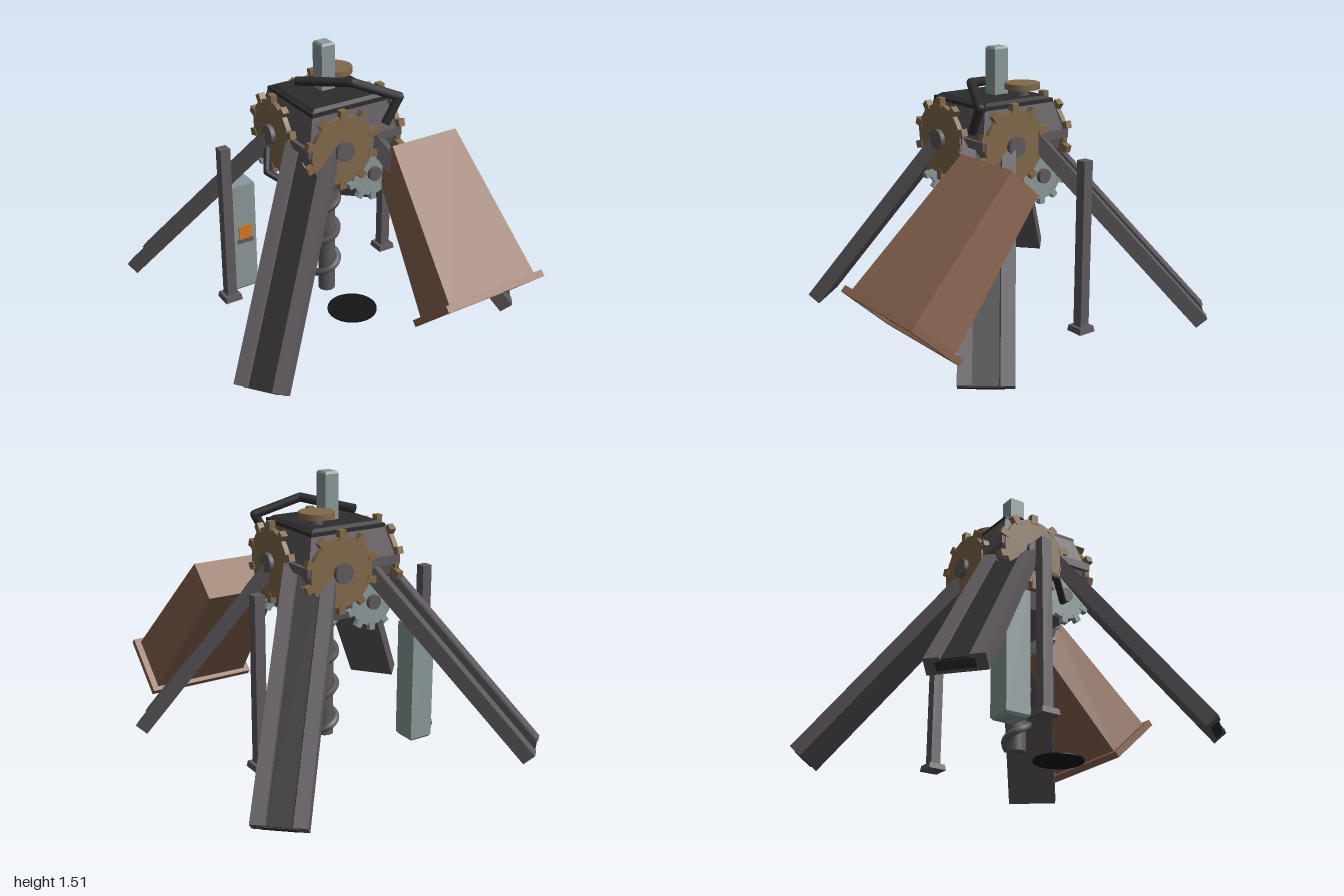
import * as THREE from 'three';

const mat = (name, color) => Object.assign(new THREE.MeshStandardMaterial({ color }), { name });
const M = {
  steel: mat('steel grey', 0x5e595d),
  charcoal: mat('charcoal', 0x2d2d2d),
  black: mat('black', 0x141414),
  brass: mat('brass', 0x80694a),
  pale: mat('pale blue steel', 0x8a9798),
  brown: mat('copper brown', 0x8a6550),
  orange: mat('orange', 0xd87522),
};

const V = (x, y, z) => new THREE.Vector3(x, y, z);

function add(parent, name, geometry, material, x = 0, y = 0, z = 0) {
  const m = new THREE.Mesh(geometry, material);
  m.name = name;
  m.position.set(x, y, z);
  parent.add(m);
  return m;
}

const box = (w, h, d) => new THREE.BoxGeometry(w, h, d);

// Box whose top differs in size from its base; stands on y = 0
function frustum(w0, d0, w1, d1, h) {
  const g = box(1, h, 1).translate(0, h / 2, 0);
  const p = g.attributes.position;
  for (let i = 0; i < p.count; i++) {
    const top = p.getY(i) > h / 2;
    p.setX(i, p.getX(i) * (top ? w1 : w0));
    p.setZ(i, p.getZ(i) * (top ? d1 : d0));
  }
  g.computeVertexNormals();
  return g;
}

// Disc facing +z
const disc = (r, t, n = 24) => new THREE.CylinderGeometry(r, r, t, n).rotateX(Math.PI / 2);

function gear(name, r, t, teeth, toothW, toothH, material, hubR) {
  const g = new THREE.Group();
  g.name = name;
  add(g, name + 'Disc', disc(r, t), material);
  for (let i = 0; i < teeth; i++) {
    const a = i / teeth * Math.PI * 2;
    const rr = r + toothH / 2 - 0.01;
    add(g, name + 'Tooth', box(toothW, toothH + 0.02, t + 0.008), material,
      Math.sin(a) * rr, Math.cos(a) * rr, 0).rotation.z = -a;
  }
  add(g, name + 'Hub', disc(hubR, 0.03, 12), M.steel, 0, 0, t / 2 + 0.01);
  return g;
}

// Leg: a grooved beam from the foot up to the body, with a dark inlay
function leg(name, foot, top) {
  const g = new THREE.Group();
  g.name = name;
  const d = top.clone().sub(foot), len = d.length();
  d.normalize();
  const w = V(0, 1, 0).cross(d).normalize();
  const n = d.clone().cross(w);
  g.quaternion.setFromRotationMatrix(new THREE.Matrix4().makeBasis(w, n, d));
  g.position.copy(foot);
  const s = new THREE.Shape([[-0.14, -0.04], [0.14, -0.04], [0.14, 0.04], [0.068, 0.04], [0.062, 0.022],
    [-0.062, 0.022], [-0.068, 0.04], [-0.14, 0.04]].map(p => new THREE.Vector2(...p)));
  add(g, 'legBeam', new THREE.ExtrudeGeometry(s, { depth: len, bevelEnabled: false }), M.steel);
  add(g, 'legInlay', box(0.124, 0.009, len), M.charcoal, 0, 0.026, len / 2);
  add(g, 'footPlate', box(0.18, 0.045, 0.006), M.charcoal, 0, 0, -0.002);
  return g;
}

// Angular pipe through a few points
function pipe(parent, name, pts, r) {
  const path = new THREE.CurvePath();
  for (let i = 1; i < pts.length; i++) {
    const a = pts[i - 1], b = pts[i], len = a.distanceTo(b);
    const m = add(parent, name, new THREE.CylinderGeometry(r, r, len, 8), M.charcoal);
    m.position.copy(a).add(b).multiplyScalar(0.5);
    m.quaternion.setFromUnitVectors(V(0, 1, 0), b.clone().sub(a).normalize());
    if (i > 1) add(parent, name + 'Joint', new THREE.SphereGeometry(r, 8, 6), M.charcoal, a.x, a.y, a.z);
  }
  return path;
}

export function createModel() {
  const root = new THREE.Group();
  root.name = 'drillingMachine';
  const cz = -0.03;

  // Central housing
  const body = new THREE.Group();
  body.name = 'housing';
  body.position.z = cz;
  root.add(body);
  add(body, 'lowerHousing', frustum(0.4, 0.4, 0.53, 0.53, 0.29), M.steel, 0, 0.74, 0);
  add(body, 'rim', box(0.58, 0.045, 0.58), M.steel, 0, 1.05, 0);
  add(body, 'upperHousing', frustum(0.54, 0.54, 0.46, 0.46, 0.15), M.steel, 0, 1.07, 0);
  add(body, 'lid', box(0.46, 0.03, 0.46), M.charcoal, 0, 1.225, 0);
  add(body, 'lidPanel', frustum(0.44, 0.44, 0.4, 0.4, 0.015), M.charcoal, 0, 1.24, 0);

  // A meshing gear pair on each of the four sides
  for (let i = 0; i < 4; i++) {
    const side = new THREE.Group();
    side.name = 'gearSide';
    side.rotation.y = i * Math.PI / 2;
    body.add(side);
    const big = gear('brassGear', 0.19, 0.028, 10, 0.04, 0.035, M.brass, 0.055);
    big.position.set(-0.085, 1.03, 0.285);
    const small = gear('paleGear', 0.13, 0.024, 10, 0.035, 0.028, M.pale, 0.04);
    small.position.set(0.125, 0.835, 0.262);
    side.add(big, small);
  }

  // Legs
  for (const s of [1, -1]) {
    root.add(leg('frontLeg', V(s * 0.8, 0.027, 0.625), V(s * 0.18, 1.05, 0.135)));
    root.add(leg('backLeg', V(s * 0.795, 0.027, -0.875), V(s * 0.175, 1.05, -0.175)));
    // Side posts
    add(root, 'sidePost', box(0.058, 0.93, 0.058), M.steel, s * 0.532, 0.495, -0.225);
    add(root, 'sidePostBase', frustum(0.105, 0.105, 0.095, 0.095, 0.032), M.steel, s * 0.532, 0.005, -0.225);
  }

  // Auger: shaft with a spiral flight, over a bore hole
  add(root, 'augerShaft', new THREE.CylinderGeometry(0.05, 0.05, 0.74, 10), M.steel, 0, 0.375, cz);
  const turns = [];
  for (let i = 0; i <= 80; i++) {
    const y = 0.03 + i / 80 * 0.68;
    const a = Math.PI / 2 - (y - 0.57) / 0.2 * Math.PI * 2;
    turns.push(V(Math.cos(a) * 0.062, y, cz + Math.sin(a) * 0.062));
  }
  add(root, 'augerFlight', new THREE.TubeGeometry(new THREE.CatmullRomCurve3(turns), 120, 0.021, 5), M.steel);
  add(root, 'boreHole', new THREE.CylinderGeometry(0.14, 0.14, 0.008, 24), M.black, 0, 0.006, 0.24);

  // Top fittings
  add(root, 'topPost', box(0.082, 0.25, 0.09), M.pale, 0, 1.375, -0.055);
  add(root, 'topPostCap', frustum(0.082, 0.09, 0.066, 0.074, 0.012), M.pale, 0, 1.5, -0.055);
  add(root, 'topWheel', new THREE.CylinderGeometry(0.096, 0.096, 0.032, 24), M.brass, 0.12, 1.306, -0.135);
  add(root, 'topWheelShaft', new THREE.CylinderGeometry(0.035, 0.035, 0.06, 10), M.steel, 0.12, 1.27, -0.135);
  pipe(root, 'topPipe', [V(-0.14, 1.30, -0.11), V(0.045, 1.34, 0.15), V(0.268, 1.25, 0.26), V(0.19, 1.11, 0.25)], 0.025);
  pipe(root, 'sidePipe', [V(-0.3, 0.95, -0.15), V(-0.375, 0.86, -0.03), V(-0.28, 0.79, 0.08)], 0.02);

  // Upright tank with indicator
  add(root, 'tank', box(0.14, 0.66, 0.14), M.pale, -0.4, 0.35, -0.335);
  add(root, 'tankFoot', frustum(0.12, 0.12, 0.14, 0.14, 0.015), M.pale, -0.4, 0.007, -0.335);
  add(root, 'indicator', box(0.082, 0.082, 0.009), M.orange, -0.4, 0.382, -0.263);
  add(root, 'indicatorTrim', box(0.1, 0.025, 0.008), M.steel, -0.4, 0.327, -0.263);

  // Discharge chute, sloping forward and down
  const chute = new THREE.Group();
  chute.name = 'chute';
  chute.position.set(0.4, 0.257, 0.858);
  chute.rotation.x = -0.745;
  root.add(chute);
  add(chute, 'chuteBody', frustum(0.57, 0.31, 0.42, 0.228, 0.885), M.brown, 0, 0.03, 0);
  const rect = (C, w, h) => new C([[-w, -h], [w, -h], [w, h], [-w, h]].map(p => new THREE.Vector2(...p)));
  const frame = rect(THREE.Shape, 0.32, 0.18);
  frame.holes.push(rect(THREE.Path, 0.252, 0.128));
  add(chute, 'chuteFlange', new THREE.ExtrudeGeometry(frame, { depth: 0.038, bevelEnabled: false })
    .rotateX(-Math.PI / 2), M.brown);
  add(chute, 'chuteOpening', box(0.506, 0.008, 0.258), M.black, 0, 0.024, 0);

  return root;
}
